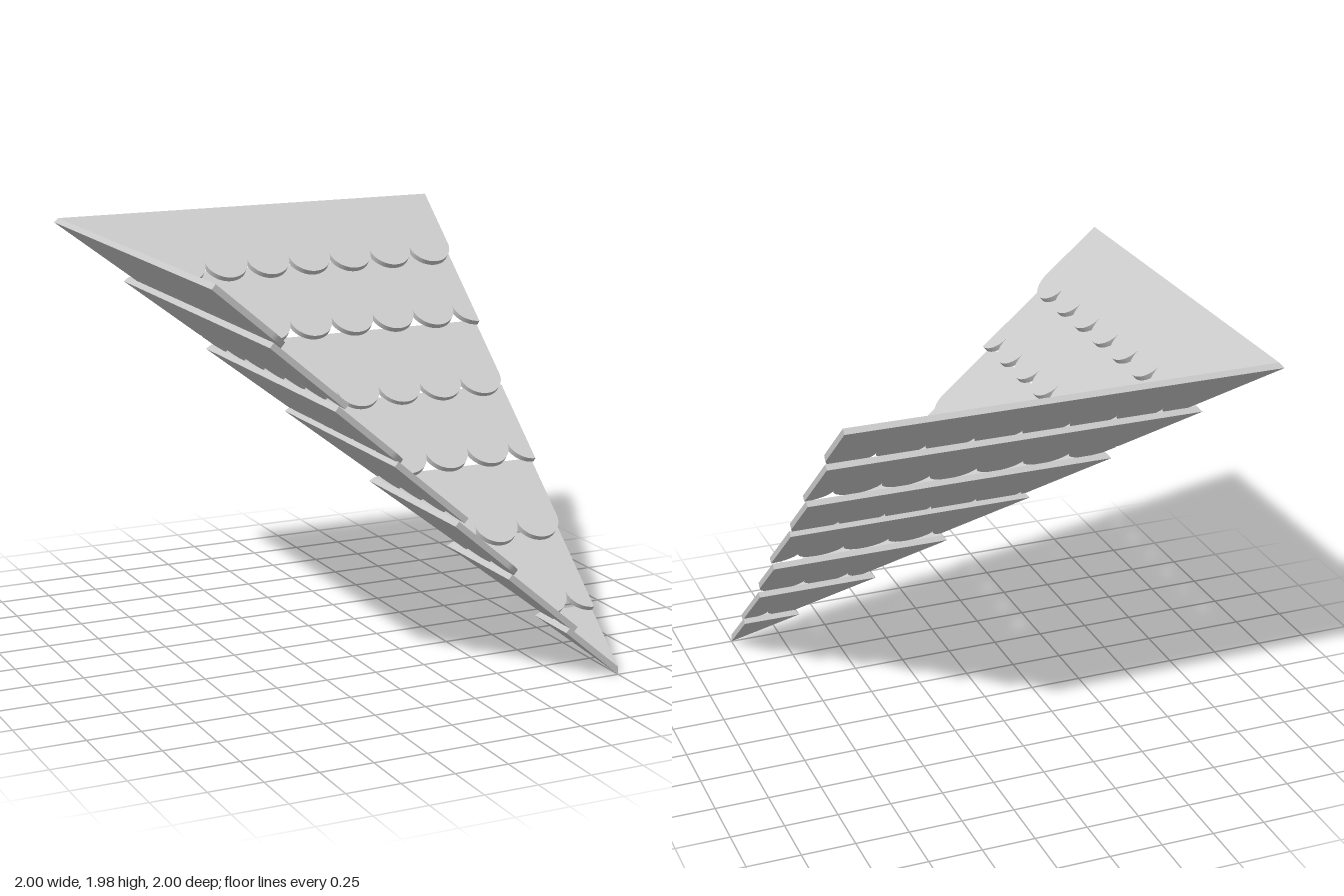
import * as THREE from 'three';
import { toCreasedNormals } from 'three/addons/utils/BufferGeometryUtils.js';

const TAN = 0.85, COS = 1 / Math.hypot(1, TAN), THICK = 0.028;
const SHIFT = THICK * TAN * COS;   // horizontal offset of the underside
const DROP = THICK / COS;          // vertical thickness
const R = 1 / 9;                   // scallop radius
const STEPS = 32;

// Each course: z and y of its upper underside edge, z of its scallop tips
const COURSES = [
  [-1, 1.956, -0.639], [-0.743, 1.69, -0.379], [-0.444, 1.39, -0.083],
  [-0.161, 1.118, 0.203], [0.139, 0.814, 0.499], [0.412, 0.535, 0.776],
  [0.717, 0.2405, null],
];

// Plan outline of one course, cut along the valley line x = z
function outline(top, tip, index) {
  const pts = [[1, top]];
  if (tip === null) pts.push([1, 1]);
  else {
    const depth = R * COS;
    const first = index % 2 ? 1 : 1 - R;   // alternate courses are staggered
    for (let c = first; c + R > top; c -= 2 * R) {
      for (let j = 0; j < STEPS; j++) {
        const a = (j / STEPS) * Math.PI;
        const x = c + R * Math.cos(a);
        if (x > 1 + 1e-6 || x < top + 0.002) continue;
        pts.push([x, Math.min(x, tip - depth + depth * Math.sin(a))]);
      }
    }
  }
  pts.push([top, top]);
  return pts;
}

// Tilted slab with square front and back edges and a mitred valley edge
function courseGeometry([zLow, yLow, tip], index, mirrored) {
  const pts = outline(zLow + SHIFT, tip, index);
  const shape = new THREE.Shape(pts.map(([x, z]) => new THREE.Vector2(x, -z)));
  let geo = new THREE.ExtrudeGeometry(shape, { depth: 1, bevelEnabled: false });
  if (geo.index) geo = geo.toNonIndexed();
  const p = geo.attributes.position;
  const verts = [];
  for (let i = 0; i < p.count; i++) {
    let x = p.getX(i), z = -p.getY(i);
    const upper = p.getZ(i) > 0.5;
    if (!upper && z < 0.9999) {
      if (Math.abs(x - z) < 1e-5) x -= SHIFT;
      z -= SHIFT;
    }
    const y = yLow - TAN * (z - zLow) + (upper ? DROP : 0);
    verts.push(mirrored ? [z, y, x] : [x, y, z]);
  }
  // Mirroring across the valley reverses the corner order
  for (let i = 0; i < verts.length; i += 3) {
    const order = mirrored ? [0, 2, 1] : [0, 1, 2];
    order.forEach((o, k) => p.setXYZ(i + k, ...verts[i + o]));
  }
  geo.deleteAttribute('uv');
  geo.deleteAttribute('normal');
  return toCreasedNormals(geo, 0.5);
}

export function createModel() {
  const model = new THREE.Group();
  model.name = 'roofValley';
  const material = new THREE.MeshStandardMaterial({ color: 0xcccccc });
  for (const mirrored of [false, true]) {
    const slope = new THREE.Group();
    slope.name = mirrored ? 'rightSlope' : 'backSlope';
    COURSES.forEach((course, i) => {
      const mesh = new THREE.Mesh(courseGeometry(course, i, mirrored), material);
      mesh.name = `shingleCourse${i + 1}`;
      slope.add(mesh);
    });
    model.add(slope);
  }
  return model;
}
